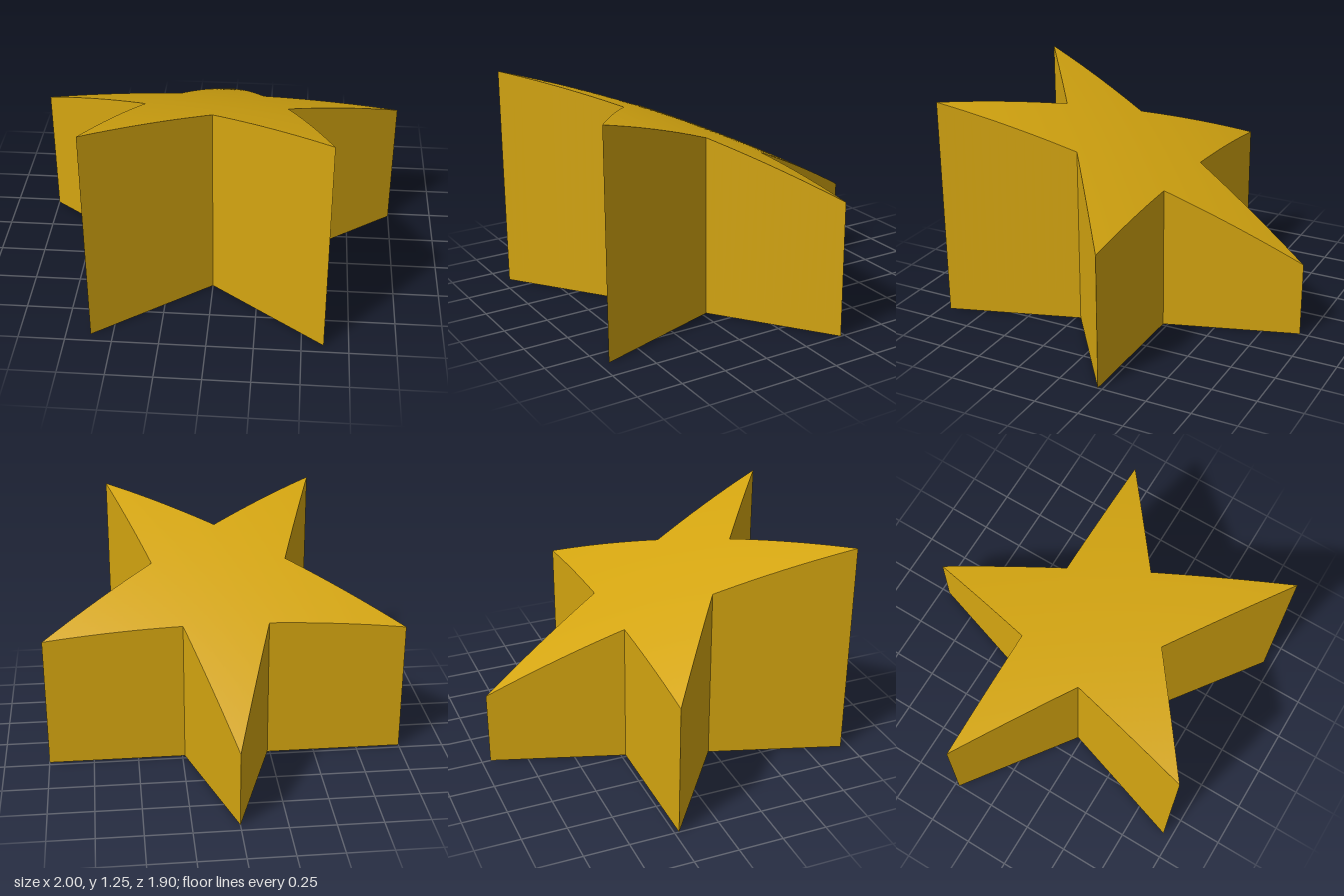
import * as THREE from 'three';
import { mergeGeometries } from 'three/addons/utils/BufferGeometryUtils.js';

const OUTER = 1.0515, INNER = 0.4016, CENTRE_Z = 0.1, STEPS = 16;

// Height of the gently domed, sloping top
const topHeight = (x, z) => 0.918 + 0.446 * z - 0.078 * z * z - 0.0635 * x * x;
const topNormal = (x, z) => new THREE.Vector3(0.127 * x, 1, -0.446 + 0.156 * z).normalize();

// Ten outline corners, alternating tip and notch, starting at the back tip
function corner(i) {
  const a = (i * Math.PI) / 5, r = i % 2 === 0 ? OUTER : INNER;
  return new THREE.Vector2(r * Math.sin(a), CENTRE_Z - r * Math.cos(a));
}

// Grid patch whose vertices are placed by place(u, v)
function patch(nu, nv, place) {
  const g = new THREE.PlaneGeometry(1, 1, nu, nv);
  const p = g.attributes.position;
  for (let i = 0; i < p.count; i++) {
    const q = place(p.getX(i) + 0.5, p.getY(i) + 0.5);
    p.setXYZ(i, q.x, q.y, q.z);
  }
  g.computeVertexNormals();
  return g;
}

export function createModel() {
  const group = new THREE.Group();
  group.name = 'starBlock';
  const gold = new THREE.MeshStandardMaterial({ color: 0xd4a510 });
  gold.name = 'gold';

  const tops = [], bases = [], walls = [];
  const centre = new THREE.Vector2(0, CENTRE_Z);

  // Each arm is a kite: centre, notch, tip, notch
  for (let k = 0; k < 10; k += 2) {
    const before = corner(k - 1), tip = corner(k), after = corner(k + 1);
    const kite = (u, v) => new THREE.Vector2()
      .addScaledVector(centre, (1 - u) * (1 - v))
      .addScaledVector(after, u * (1 - v))
      .addScaledVector(before, (1 - u) * v)
      .addScaledVector(tip, u * v);
    tops.push(patch(STEPS, STEPS, (u, v) => {
      const q = kite(u, v);
      return new THREE.Vector3(q.x, topHeight(q.x, q.y), q.y);
    }));
    bases.push(patch(1, 1, (u, v) => {
      const q = kite(v, u);
      return new THREE.Vector3(q.x, 0, q.y);
    }));
  }

  // Upright walls, following the top curve along their upper edge
  for (let i = 0; i < 10; i++) {
    const from = corner(i + 1), to = corner(i);
    walls.push(patch(STEPS, 1, (u, v) => {
      const q = from.clone().lerp(to, u);
      return new THREE.Vector3(q.x, v * topHeight(q.x, q.y), q.y);
    }));
  }

  // Smooth normals across the whole top
  const top = mergeGeometries(tops);
  const p = top.attributes.position;
  for (let i = 0; i < p.count; i++) {
    const n = topNormal(p.getX(i), p.getZ(i));
    top.attributes.normal.setXYZ(i, n.x, n.y, n.z);
  }

  const parts = { curvedTop: top, walls: mergeGeometries(walls), base: mergeGeometries(bases) };
  for (const [name, geometry] of Object.entries(parts)) {
    const mesh = new THREE.Mesh(geometry, gold);
    mesh.name = name;
    group.add(mesh);
  }
  return group;
}
